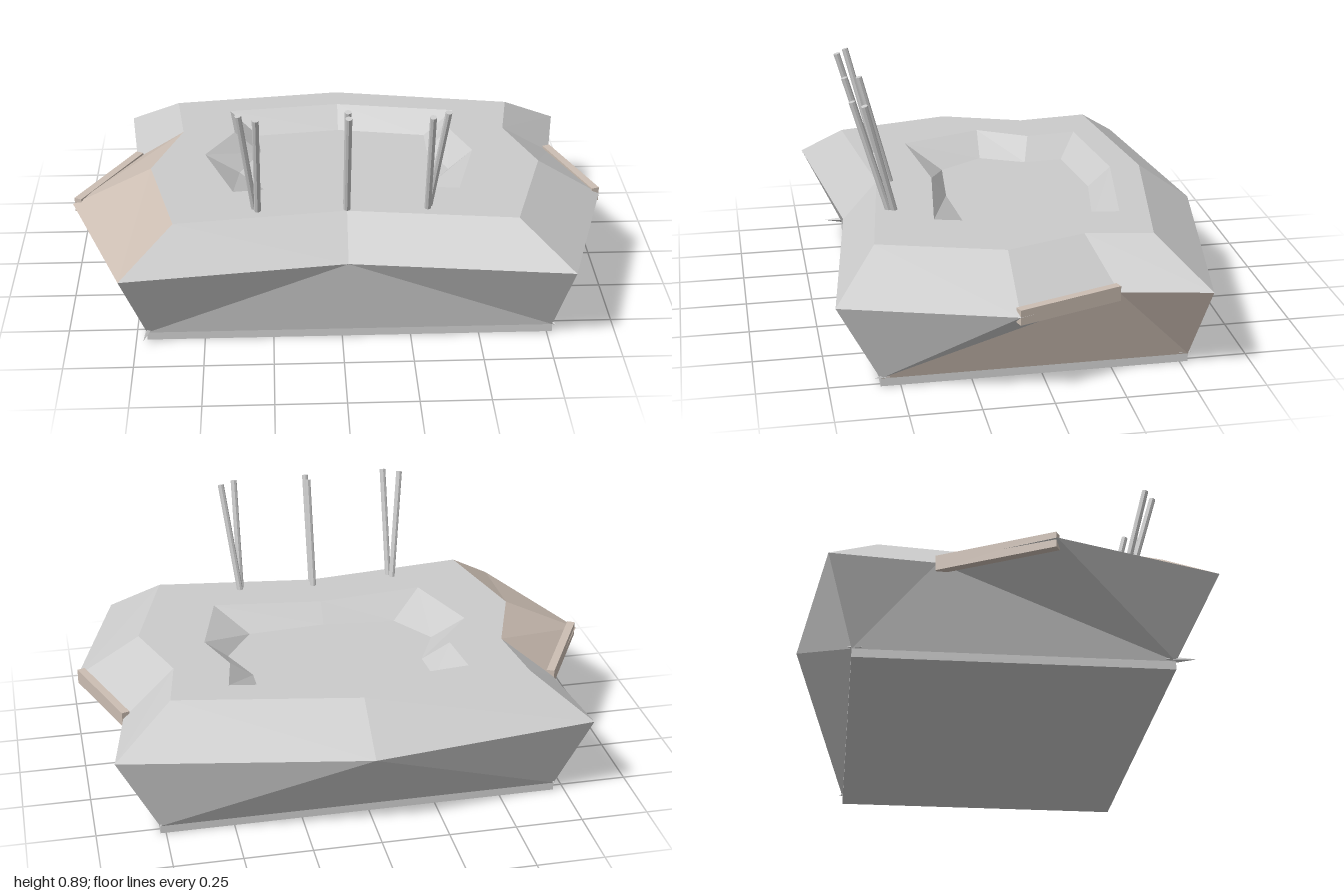
import * as THREE from 'three';

const GREY = 0xcccccc, TAN = 0xccbeb3;

// Plan outlines [x, z], ten matching corners running counter-clockwise from above
const FL = [-0.71, 0.57], FR = [0.77, 0.57], BR = [0.77, -0.53], BL = [-0.71, -0.53];
const foot = [FL, FL, FR, FR, FR, BR, BR, BL, BL, FL];
const waist = [[-0.79, 0.72], [0.02, 0.62], [0.82, 0.72], [1, 0.12], [0.86, -0.25],
  [0.92, -0.57], [0.02, -0.73], [-0.82, -0.62], [-0.78, -0.25], [-1, 0.13]];
const deckEdge = [[-0.6, 0.565], [0.02, 0.49], [0.63, 0.565], [0.76, 0.12], [0.66, -0.17],
  [0.7, -0.41], [0.02, -0.53], [-0.62, -0.45], [-0.59, -0.18], [-0.7, 0.13]];
const pitRim = [[-0.39, 0.33], [0.02, 0.28], [0.44, 0.33], [0.52, 0.02], [0.45, -0.17],
  [0.48, -0.34], [0.02, -0.415], [-0.41, -0.365], [-0.39, -0.17], [-0.5, 0.02]];
const pitFloor = [[-0.26, 0.2], [0.02, 0.225], [0.32, 0.2], [0.43, 0.03], [0.36, -0.14],
  [0.36, -0.27], [0.02, -0.33], [-0.3, -0.29], [-0.29, -0.14], [-0.37, 0.03]];
const centre = Array(10).fill([0.02, -0.03]);

function material(color) {
  return new THREE.MeshStandardMaterial({ color, flatShading: true, side: THREE.DoubleSide });
}

// Faceted band between two outlines, limited to the chosen segments
function band(name, a, ya, b, yb, color = GREY, keep = () => true) {
  const pos = [];
  const tri = (...corners) => corners.forEach(([p, y]) => pos.push(p[0], y, p[1]));
  for (let i = 0; i < 10; i++) {
    if (!keep(i)) continue;
    const j = (i + 1) % 10;
    if (a[i] !== a[j]) tri([a[i], ya], [a[j], ya], [b[i], yb]);
    if (b[i] !== b[j]) tri([a[j], ya], [b[j], yb], [b[i], yb]);
  }
  const geo = new THREE.BufferGeometry();
  geo.setAttribute('position', new THREE.Float32BufferAttribute(pos, 3));
  geo.computeVertexNormals();
  const mesh = new THREE.Mesh(geo, material(color));
  mesh.name = name;
  return mesh;
}

// Straight rod or bar between two points
function between(name, geo, from, to, color = GREY) {
  const a = new THREE.Vector3(...from), b = new THREE.Vector3(...to);
  const mesh = new THREE.Mesh(geo, material(color));
  mesh.name = name;
  mesh.position.copy(a).add(b).multiplyScalar(0.5);
  mesh.scale.y = a.distanceTo(b);
  mesh.quaternion.setFromUnitVectors(new THREE.Vector3(0, 1, 0), b.sub(a).normalize());
  return mesh;
}

export function createModel() {
  const model = new THREE.Group();
  model.name = 'facetedPlatform';

  // Base slab
  const base = new THREE.Mesh(new THREE.BoxGeometry(1.48, 0.03, 1.1), material(GREY));
  base.name = 'basePlate';
  base.position.set(0.03, 0.015, 0.02);
  model.add(base);

  // Hull flaring up to the waist, then sloping in to the deck
  const lowerTan = i => i === 4, upperTan = i => i >= 8;
  model.add(
    band('lowerHull', foot, 0.03, waist, 0.33, GREY, i => !lowerTan(i)),
    band('lowerSidePanel', foot, 0.03, waist, 0.33, TAN, lowerTan),
    band('upperHull', waist, 0.33, deckEdge, 0.475, GREY, i => !upperTan(i)),
    band('upperSidePanel', waist, 0.33, deckEdge, 0.475, TAN, upperTan),
    band('deck', deckEdge, 0.475, pitRim, 0.475),
    band('pitWall', pitRim, 0.475, pitFloor, 0.4),
    band('pitFloor', pitFloor, 0.4, centre, 0.4));

  // Ledges along the two side notches
  for (const [from, to] of [
    [[0.985, 0.328, 0.125], [0.85, 0.328, -0.25]],
    [[-0.98, 0.328, 0.135], [-0.77, 0.328, -0.25]]]) {
    const ledge = new THREE.Mesh(new THREE.BoxGeometry(0.03, 0.055, 1), material(TAN));
    const a = new THREE.Vector3(...from), b = new THREE.Vector3(...to);
    ledge.name = 'sideLedge';
    ledge.position.copy(a).add(b).multiplyScalar(0.5);
    ledge.scale.z = a.distanceTo(b);
    ledge.lookAt(b);
    model.add(ledge);
  }

  // Paired rods leaning out over the front edge
  const rod = new THREE.CylinderGeometry(0.012, 0.012, 1, 8);
  for (const [x0, z0, x1, z1] of [
    [-0.3, 0.475, -0.3, 0.598], [-0.31, 0.455, -0.36, 0.56],
    [0.02, 0.435, 0.02, 0.545], [0.02, 0.475, 0.02, 0.598],
    [0.31, 0.475, 0.31, 0.598], [0.315, 0.455, 0.367, 0.56]]) {
    model.add(between('frontRod', rod, [x0, 0.46, z0], [x1, 0.89, z1]));
  }

  // Small spurs at the base corners
  const spur = new THREE.ConeGeometry(0.014, 1, 4);
  for (const [x, z, dx, dz] of [
    [-0.7, 0.54, -0.02, 0.1], [0.76, 0.54, 0.02, 0.05],
    [0.76, -0.5, 0.01, -0.045], [-0.7, -0.5, -0.01, -0.045]]) {
    model.add(between('cornerSpur', spur, [x, 0.038, z], [x + dx, 0.036, z + dz]));
  }
  return model;
}
